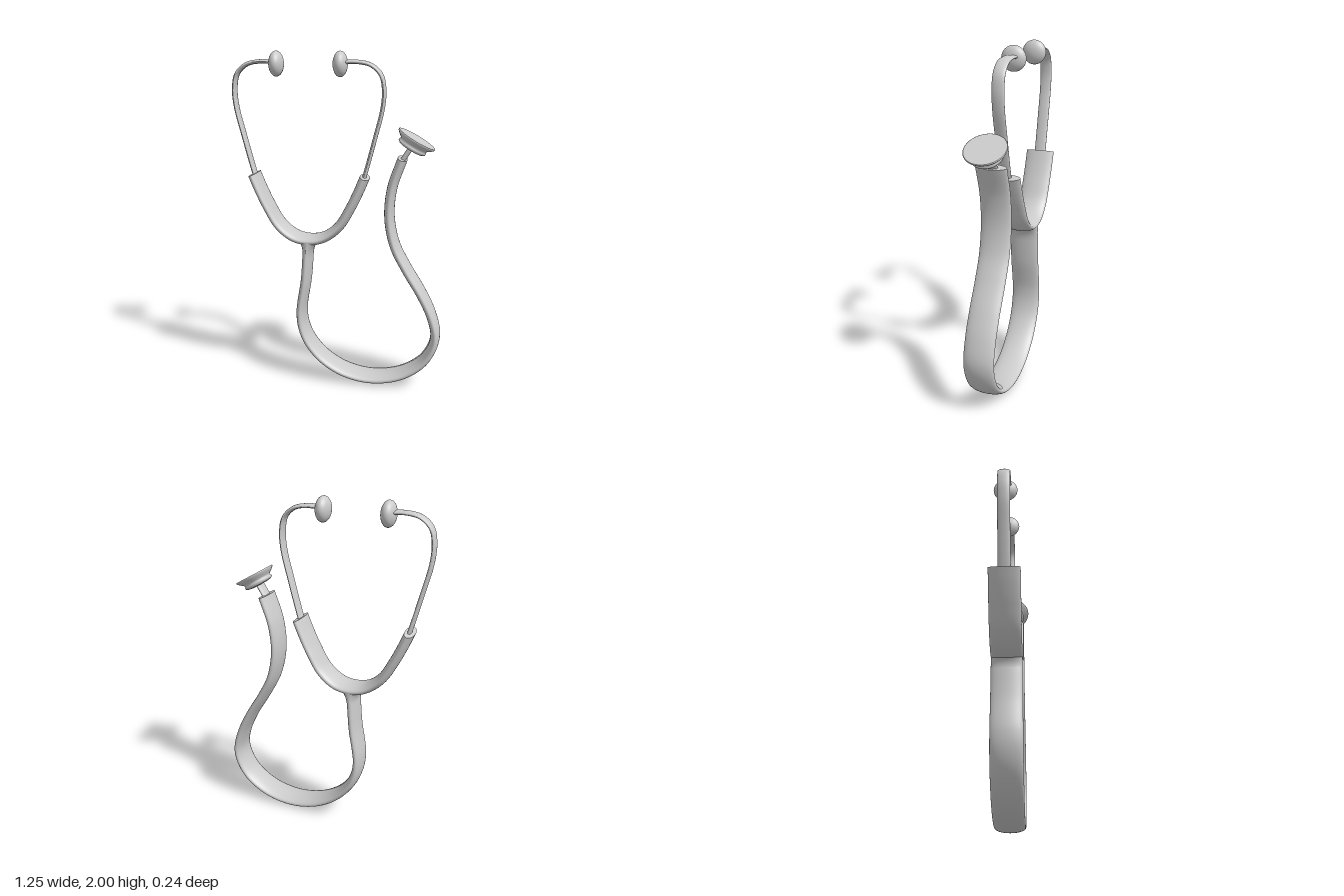
import * as THREE from 'three';

const material = new THREE.MeshStandardMaterial({ color: 0xcccccc, side: THREE.DoubleSide });
const AXIS_X = -0.178; // mirror line of the headset
const Z = new THREE.Vector3(0, 0, 1);

function add(parent, name, geometry) {
  const mesh = new THREE.Mesh(geometry, material);
  mesh.name = name;
  parent.add(mesh);
  return mesh;
}

// Flattened tube along a planar path: half width a in the plane, b in depth, with flat ends
function flatTube(parent, name, points, a, b, segments) {
  const group = new THREE.Group();
  group.name = name;
  parent.add(group);
  const curve = new THREE.CatmullRomCurve3(points.map(([x, y]) => new THREE.Vector3(x, y, 0)));
  add(group, name + 'Wall', new THREE.TubeGeometry(curve, segments, a, 28).scale(1, 1, b / a));
  for (const t of [0, 1]) {
    const out = curve.getTangentAt(t).multiplyScalar(t ? 1 : -1);
    const across = new THREE.Vector3().crossVectors(Z, out);
    const cap = new THREE.CircleGeometry(1, 28).scale(a, b, 1);
    cap.applyMatrix4(new THREE.Matrix4().makeBasis(across, Z, out).setPosition(curve.getPointAt(t)));
    add(group, name + 'End', cap);
  }
}

const mirror = (points) => points.map(([x, y]) => [2 * AXIS_X - x, y]);

export function createModel() {
  const model = new THREE.Group();
  model.name = 'stethoscope';

  // Rubber yoke joining both ear tubes
  const half = [[-0.51, 1.29], [-0.475, 1.205], [-0.425, 1.1], [-0.357, 0.987], [-0.27, 0.919]];
  flatTube(model, 'yoke', [...half, [AXIS_X, 0.9], ...mirror(half).reverse()], 0.029, 0.09, 80);

  // Ear tubes and ear tips
  const ear = [[-0.49, 1.235], [-0.508, 1.295], [-0.568, 1.524], [-0.606, 1.683], [-0.613, 1.788],
    [-0.594, 1.871], [-0.536, 1.923], [-0.457, 1.939], [-0.37, 1.936]];
  for (const [side, path] of [['right', ear], ['left', mirror(ear)]]) {
    flatTube(model, side + 'EarTube', path, 0.012, 0.036, 60);
    const tip = add(model, side + 'EarTip', new THREE.SphereGeometry(1, 32, 20).scale(0.042, 0.072, 0.072));
    tip.position.set(side === 'right' ? -0.362 : 0.008, 1.927, 0);
  }

  // Flared junction under the yoke
  const flare = new THREE.CylinderGeometry(1, 1, 0.1, 28, 10, true);
  const p = flare.attributes.position;
  for (let i = 0; i < p.count; i++) {
    const t = p.getY(i) / 0.1 + 0.5;
    p.setXYZ(i, p.getX(i) * (0.029 + 0.045 * t ** 3) - 0.189 + 0.01 * t, 0.8 + 0.1 * t, p.getZ(i) * 0.09);
  }
  flare.computeVertexNormals();
  add(model, 'junction', flare);

  // Long rubber tube
  flatTube(model, 'mainTube', [[-0.186, 0.84], [-0.201, 0.65], [-0.231, 0.441], [-0.219, 0.335],
    [-0.177, 0.238], [-0.087, 0.136], [0.045, 0.061], [0.209, 0.032], [0.378, 0.064], [0.51, 0.15],
    [0.573, 0.25], [0.592, 0.346], [0.563, 0.468], [0.5, 0.6], [0.404, 0.758], [0.335, 0.895],
    [0.301, 1.064], [0.314, 1.233], [0.37, 1.405]], 0.029, 0.09, 160);

  // Chest piece: short neck and a tilted two-step disc
  flatTube(model, 'chestNeck', [[0.355, 1.37], [0.385, 1.42], [0.42, 1.475]], 0.015, 0.04, 8);
  const profile = [[0, -0.072], [0.045, -0.071], [0.076, -0.066], [0.087, -0.058], [0.087, -0.048],
    [0.08, -0.042], [0.088, -0.034], [0.106, -0.02], [0.118, -0.008], [0.119, -0.002], [0.116, 0]];
  const head = new THREE.Group();
  head.name = 'chestPiece';
  add(head, 'bell', new THREE.LatheGeometry(profile.map(([r, y]) => new THREE.Vector2(r, y)), 40));
  add(head, 'diaphragm', new THREE.CircleGeometry(0.116, 40).rotateX(-Math.PI / 2));
  head.position.set(0.449, 1.52, 0);
  head.rotation.z = -Math.PI / 6;
  model.add(head);

  return model;
}
